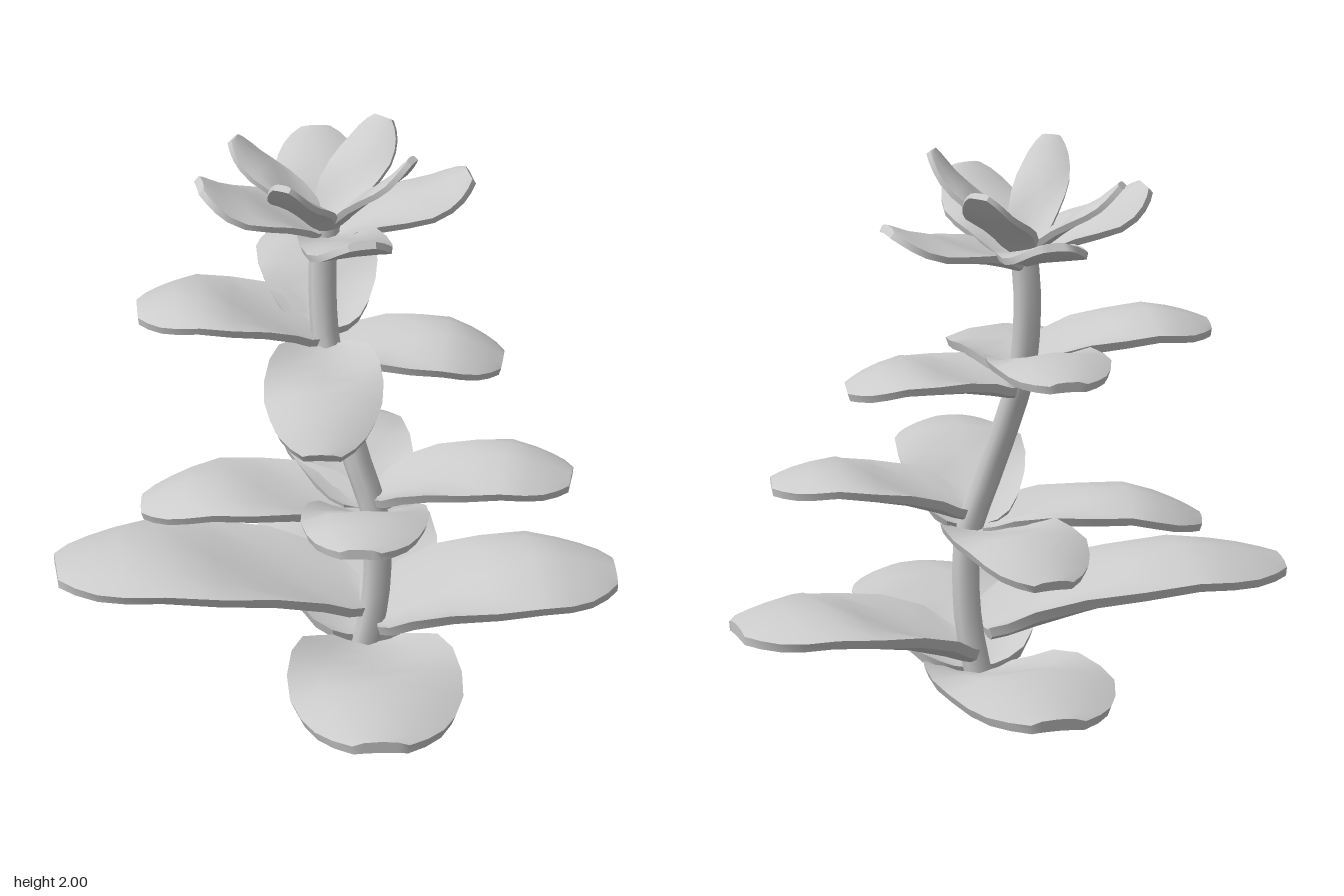
import * as THREE from 'three';
import { mergeVertices, toCreasedNormals } from 'three/addons/utils/BufferGeometryUtils.js';

const material = new THREE.MeshStandardMaterial({ color: 0xcccccc });

// Linear lookup in a list of [t, value] pairs
function lookup(table, t) {
  for (let i = 1; i < table.length; i++) {
    const [t0, v0] = table[i - 1], [t1, v1] = table[i];
    if (t <= t1) return v0 + (v1 - v0) * (t - t0) / (t1 - t0);
  }
  return table[table.length - 1][1];
}

// Along the leaf: half-outline, lift of the edges, swelling of the upper side
const OUTLINE = [[0, 0.4], [0.05, 0.6], [0.14, 0.77], [0.3, 0.92], [0.48, 1], [0.66, 0.99], [0.79, 0.88], [0.88, 0.74], [0.95, 0.55], [1, 0.33]];
const CUP = [[0, 0.04], [0.14, 0.075], [0.3, 0.07], [0.48, 0.035], [0.7, -0.005], [0.85, -0.015], [1, -0.005]];
const DOME = [[0, 0], [0.25, 0], [0.48, 0.035], [0.66, 0.055], [0.88, 0.03], [1, 0.005]];
const ACROSS = [-1, -0.6, 0, 0.6, 1];
const STEM_GAP = 0.03;

// Fleshy leaf: cross-section loops swept from the side of the stem to a tip
function leafGeometry({ base, tip, rise, width, thick }) {
  const [y0, yPeak, y1] = rise;
  const reach = Math.hypot(tip[0] - base[0], tip[1] - base[1]);
  const dx = (tip[0] - base[0]) / reach, dz = (tip[1] - base[1]) / reach;
  const bx = base[0] + dx * STEM_GAP, bz = base[1] + dz * STEM_GAP, length = reach - STEM_GAP;
  const peak = 0.68, size = width / 0.6;
  const height = t => t < peak
    ? y0 + (yPeak - y0) * (0.85 * t / peak + 0.15 * Math.sin(t / peak * Math.PI / 2))
    : yPeak + (y1 - yPeak) * ((t - peak) / (1 - peak)) ** 1.2;
  const pos = [], index = [];
  const n = ACROSS.length, loop = 2 * n;

  for (const [t, w] of OUTLINE) {
    const ta = Math.max(0, t - 0.1), tb = Math.min(1, t + 0.1);
    const slope = (height(tb) - height(ta)) / ((tb - ta) * length);
    const c = 1 / Math.hypot(1, slope), s = slope * c;
    const put = (u, off) => {
      const lift = lookup(CUP, t) * size * u * u + off;
      const side = u * w * width / 2, along = t * length - s * lift;
      pos.push(bx + dx * along + dz * side, Math.max(0, height(t) + c * lift), bz + dz * along - dx * side);
    };
    ACROSS.forEach(u => put(u, lookup(DOME, t) * size * (1 - u * u) - (Math.abs(u) === 1 ? 0.15 * thick : 0)));
    [...ACROSS].reverse().forEach(u => put(u * 0.95, -thick));
  }
  const rows = OUTLINE.length;
  for (let i = 0; i < rows - 1; i++) {
    for (let j = 0; j < loop; j++) {
      const a = i * loop + j, b = i * loop + (j + 1) % loop;
      index.push(a, a + loop, b, b, a + loop, b + loop);
    }
  }
  // End caps
  const last = (rows - 1) * loop;
  for (let k = 0; k < n - 1; k++) {
    const p = k, q = k + 1, r = loop - 2 - k, s = loop - 1 - k;
    index.push(p, q, r, p, r, s);
    index.push(last + p, last + r, last + q, last + p, last + s, last + r);
  }
  const g = new THREE.BufferGeometry();
  g.setAttribute('position', new THREE.Float32BufferAttribute(pos, 3));
  g.setIndex(index);
  return toCreasedNormals(mergeVertices(g), 0.7);
}

// Whorls from the ground up; each leaf is [tipX, tipZ, width, baseY, peakY, tipY]
const WHORLS = [
  { name: 'bottomLeaf', base: [0.07, 0.03], thick: 0.04, leaves: [
    [-0.76, -0.73, 0.63, 0.2, 0.41, 0.39], [0.73, -0.77, 0.63, 0.04, 0.185, 0.15],
    [-0.64, 0.76, 0.63, 0.04, 0.165, 0.15], [0.75, 0.61, 0.62, 0.12, 0.295, 0.28]] },
  { name: 'lowerLeaf', base: [0.06, 0.05], thick: 0.035, leaves: [
    [-0.47, -0.58, 0.46, 0.57, 0.66, 0.59], [0.52, -0.61, 0.46, 0.57, 0.66, 0.59],
    [-0.48, 0.51, 0.46, 0.57, 0.78, 0.78], [0.5, 0.63, 0.44, 0.64, 0.785, 0.76]] },
  { name: 'upperLeaf', base: [0.05, -0.16], thick: 0.035, leaves: [
    [-0.43, -0.64, 0.43, 1.22, 1.365, 1.34], [0.5, -0.66, 0.43, 1.22, 1.355, 1.34],
    [-0.47, 0.31, 0.43, 1.19, 1.19, 1.09], [0.45, 0.34, 0.43, 1.13, 1.2, 1.15]] },
  { name: 'crownLeaf', base: [0.07, -0.18], thick: 0.03, leaves: [
    [-0.29, -0.45, 0.32, 1.63, 1.76, 1.86], [0.38, -0.52, 0.32, 1.63, 1.73, 1.81],
    [-0.21, 0.26, 0.32, 1.61, 1.73, 1.84], [0.51, 0.11, 0.32, 1.61, 1.715, 1.8]] },
  { name: 'crownTopLeaf', base: [0.07, -0.18], thick: 0.025, leaves: [
    [-0.28, -0.06, 0.2, 1.66, 1.86, 1.98], [0.4, -0.21, 0.23, 1.66, 1.84, 1.95],
    [-0.05, -0.51, 0.18, 1.66, 1.83, 1.93], [0.16, 0.15, 0.16, 1.66, 1.87, 2]] },
];

// Stem centre line
const STEM = [
  [0.06, 0, 0.02], [0.08, 0.25, 0.06], [0.075, 0.55, 0.06], [0.05, 0.75, 0],
  [0.04, 1, -0.09], [0.045, 1.2, -0.155], [0.06, 1.48, -0.185], [0.07, 1.66, -0.175],
];

export function createModel() {
  const plant = new THREE.Group();
  plant.name = 'succulentPlant';

  // Stem with closed foot and top
  const curve = new THREE.CatmullRomCurve3(STEM.map(p => new THREE.Vector3(...p)));
  const stem = new THREE.Mesh(new THREE.TubeGeometry(curve, 20, 0.05, 8), material);
  stem.name = 'stem';
  stem.geometry.attributes.position.array.forEach((v, i, a) => { if (i % 3 === 1) a[i] = Math.max(0, v); });
  plant.add(stem);
  [[0, 1], [1, -1]].forEach(([t, sign]) => {
    const cap = new THREE.Mesh(new THREE.CircleGeometry(0.05, 8), material);
    cap.name = t ? 'stemTop' : 'stemFoot';
    cap.rotation.x = sign * Math.PI / 2;
    cap.position.copy(curve.getPoint(t));
    plant.add(cap);
  });

  // Leaves
  for (const { name, base, thick, leaves } of WHORLS) {
    const whorl = new THREE.Group();
    whorl.name = name + 'Whorl';
    for (const [x, z, width, ...rise] of leaves) {
      const leaf = new THREE.Mesh(leafGeometry({ base, tip: [x, z], rise, width, thick }), material);
      leaf.name = name;
      whorl.add(leaf);
    }
    plant.add(whorl);
  }
  return plant;
}
